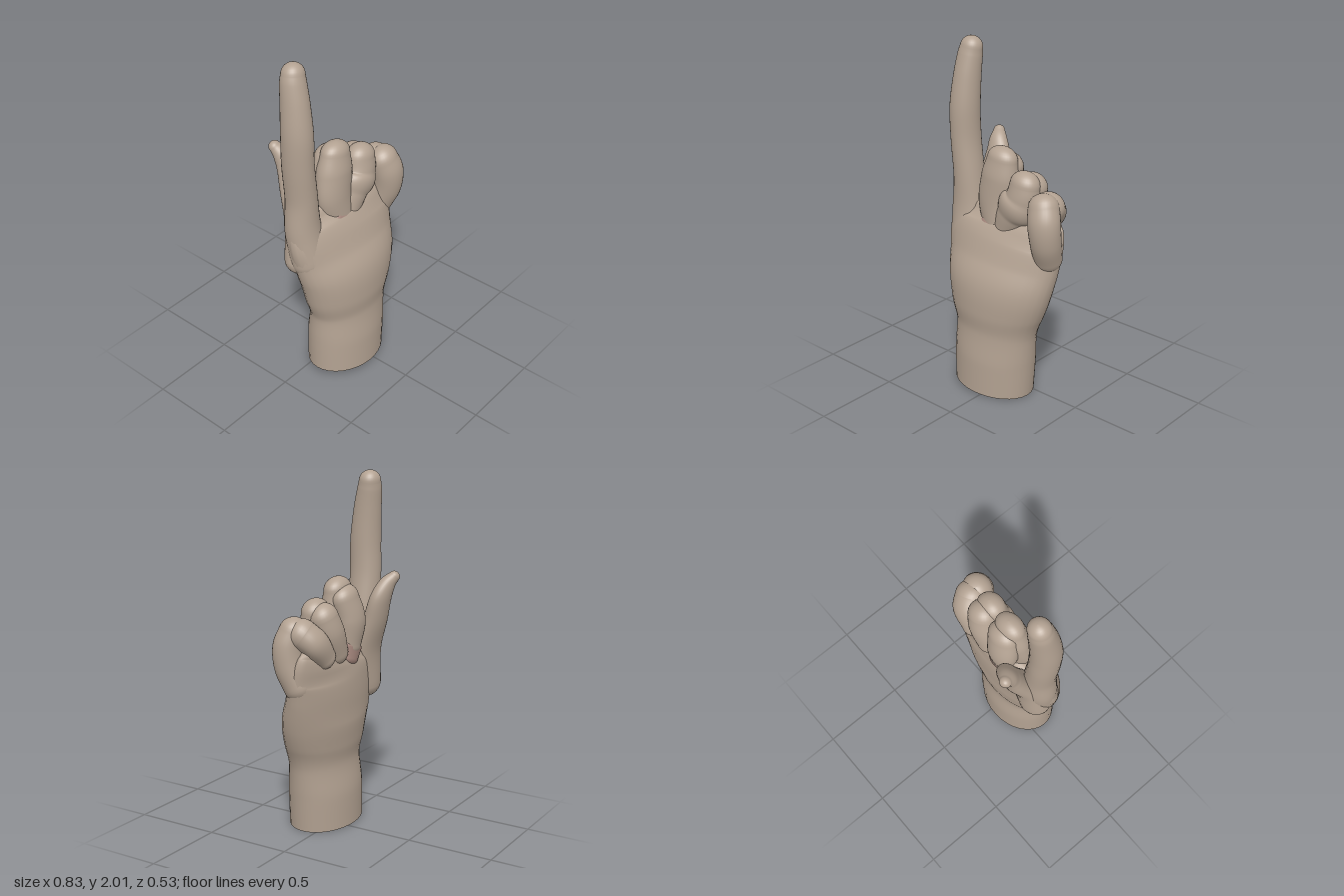
import * as THREE from 'three';

const skin = new THREE.MeshStandardMaterial({ color: 0xb3a292 });
const fold = new THREE.MeshStandardMaterial({ color: 0xa98a80 });
const cut = new THREE.MeshStandardMaterial({ color: 0x77716c });

const SIDES = 32;

// Smooth loft through sections [x, y, z, halfWidth, halfDepth] with rounded ends.
function loft(name, sections, { material = skin, roundStart = true, steps = 32 } = {}) {
  const path = new THREE.CatmullRomCurve3(sections.map(s => new THREE.Vector3(s[0], s[1], s[2])));
  const size = new THREE.CatmullRomCurve3(sections.map(s => new THREE.Vector3(s[3], s[4], 0)));
  const rings = [];
  const addRing = (t, shift, scale) => {
    const tangent = path.getTangent(t);
    const r = size.getPoint(t);
    const centre = path.getPoint(t).addScaledVector(tangent, shift * Math.min(r.x, r.y));
    const across = new THREE.Vector3(1, 0, 0).addScaledVector(tangent, -tangent.x).normalize();
    const depth = across.clone().cross(tangent);
    rings.push({ centre, across: across.multiplyScalar(r.x * scale), depth: depth.multiplyScalar(r.y * scale) });
  };
  const CAP = 8;
  if (roundStart) {
    for (let i = 0; i < CAP; i++) {
      const a = (1 - i / CAP) * Math.PI / 2;
      addRing(0, -Math.sin(a), Math.cos(a));
    }
  }
  for (let i = 0; i <= steps; i++) addRing(i / steps, 0, 1);
  for (let i = 1; i <= CAP; i++) {
    const a = (i / CAP) * Math.PI / 2;
    addRing(1, Math.sin(a), Math.cos(a));
  }

  const positions = [], index = [];
  rings.forEach((ring, i) => {
    for (let j = 0; j < SIDES; j++) {
      const a = (j / SIDES) * Math.PI * 2;
      const p = ring.centre.clone()
        .addScaledVector(ring.across, Math.cos(a))
        .addScaledVector(ring.depth, Math.sin(a));
      positions.push(p.x, p.y, p.z);
      if (i === rings.length - 1) continue;
      const k = (j + 1) % SIDES;
      const p0 = i * SIDES + j, p1 = i * SIDES + k;
      index.push(p0, p0 + SIDES, p1, p1, p0 + SIDES, p1 + SIDES);
    }
  });
  const geometry = new THREE.BufferGeometry();
  geometry.setAttribute('position', new THREE.Float32BufferAttribute(positions, 3));
  geometry.setIndex(index);
  geometry.computeVertexNormals();
  const mesh = new THREE.Mesh(geometry, material);
  mesh.name = name;
  return mesh;
}

export function createModel() {
  const hand = new THREE.Group();
  hand.name = 'pointingHand';

  // Wrist and palm, from outlines [y, xMin, xMax, zMin, zMax]
  const outlines = [
    [0.005, -0.30, 0.21, -0.115, 0.265],
    [0.2, -0.30, 0.225, -0.115, 0.262],
    [0.37, -0.295, 0.24, -0.095, 0.245],
    [0.5, -0.335, 0.285, -0.11, 0.255],
    [0.65, -0.37, 0.335, -0.125, 0.245],
    [0.78, -0.395, 0.365, -0.125, 0.19],
    [0.9, -0.415, 0.385, -0.12, 0.145],
    [0.98, -0.405, 0.385, -0.11, 0.10],
    [1.04, -0.385, 0.36, -0.09, 0.05],
  ];
  hand.add(loft('wristAndPalm', outlines.map(([y, x0, x1, z0, z1]) =>
    [(x0 + x1) / 2, y, (z0 + z1) / 2, (x1 - x0) / 2, (z1 - z0) / 2]), { roundStart: false, steps: 56 }));

  // Flat end of the wrist
  const base = new THREE.Mesh(new THREE.CircleGeometry(1, SIDES).rotateX(Math.PI / 2), cut);
  base.name = 'wristEnd';
  base.scale.set(0.255, 1, 0.19);
  base.position.set(-0.045, 0.003, 0.075);
  hand.add(base);

  // Extended index finger
  hand.add(loft('indexFinger', [
    [-0.29, 0.80, 0.02, 0.11, 0.10],
    [-0.305, 1.0, -0.01, 0.107, 0.095],
    [-0.31, 1.2, -0.012, 0.088, 0.09],
    [-0.33, 1.42, -0.012, 0.083, 0.092],
    [-0.333, 1.6, -0.01, 0.084, 0.09],
    [-0.326, 1.78, -0.025, 0.077, 0.08],
    [-0.318, 1.9, -0.042, 0.071, 0.069],
    [-0.312, 1.94, -0.047, 0.065, 0.062],
  ], { steps: 48 }));

  // Thumb, leaning backward at its tip
  hand.add(loft('thumb', [
    [-0.30, 0.78, -0.03, 0.10, 0.09],
    [-0.26, 1.0, -0.07, 0.10, 0.07],
    [-0.238, 1.18, -0.135, 0.087, 0.062],
    [-0.232, 1.30, -0.17, 0.078, 0.055],
    [-0.255, 1.38, -0.20, 0.055, 0.045],
    [-0.275, 1.42, -0.23, 0.034, 0.032],
  ]));

  // Curled fingers: an outer half in front of the knuckle and a tip half behind it
  const curled = {
    middleFinger: {
      outer: [[-0.045, 1.365, 0.0, 0.095, 0.07], [-0.06, 1.25, 0.005, 0.118, 0.085],
        [-0.075, 1.12, 0.015, 0.118, 0.08], [-0.05, 0.97, 0.02, 0.10, 0.08]],
      tip: [[-0.045, 1.32, -0.045, 0.095, 0.075], [-0.07, 1.2, -0.07, 0.098, 0.078],
        [-0.06, 1.05, -0.07, 0.075, 0.06]],
    },
    ringFinger: {
      outer: [[0.14, 1.265, 0.025, 0.09, 0.075], [0.125, 1.18, 0.03, 0.10, 0.085],
        [0.065, 1.08, 0.03, 0.10, 0.085], [0.02, 0.99, 0.025, 0.085, 0.08]],
      tip: [[0.145, 1.24, -0.03, 0.088, 0.08], [0.115, 1.15, -0.055, 0.09, 0.075],
        [0.065, 1.03, -0.06, 0.075, 0.065]],
    },
    littleFinger: {
      outer: [[0.30, 1.18, 0.06, 0.088, 0.082], [0.32, 1.1, 0.08, 0.094, 0.086],
        [0.325, 0.99, 0.07, 0.088, 0.085], [0.31, 0.88, 0.03, 0.08, 0.08]],
      tip: [[0.295, 1.17, 0.01, 0.09, 0.085], [0.26, 1.12, -0.045, 0.09, 0.075],
        [0.19, 1.03, -0.07, 0.07, 0.055]],
    },
  };
  for (const [name, { outer, tip }] of Object.entries(curled)) {
    const finger = new THREE.Group();
    finger.name = name;
    finger.add(loft(name + 'Outer', outer), loft(name + 'Tip', tip));
    hand.add(finger);
  }

  // Reddish creases where the curled fingers meet the palm
  hand.add(loft('frontCrease', [
    [-0.10, 1.0, 0.055, 0.06, 0.04],
    [-0.03, 0.93, 0.075, 0.10, 0.05],
    [-0.01, 0.87, 0.11, 0.04, 0.04],
  ], { material: fold }));
  hand.add(loft('backCrease', [
    [-0.06, 1.04, -0.08, 0.09, 0.045],
    [-0.04, 0.98, -0.08, 0.07, 0.04],
  ], { material: fold }));

  return hand;
}
